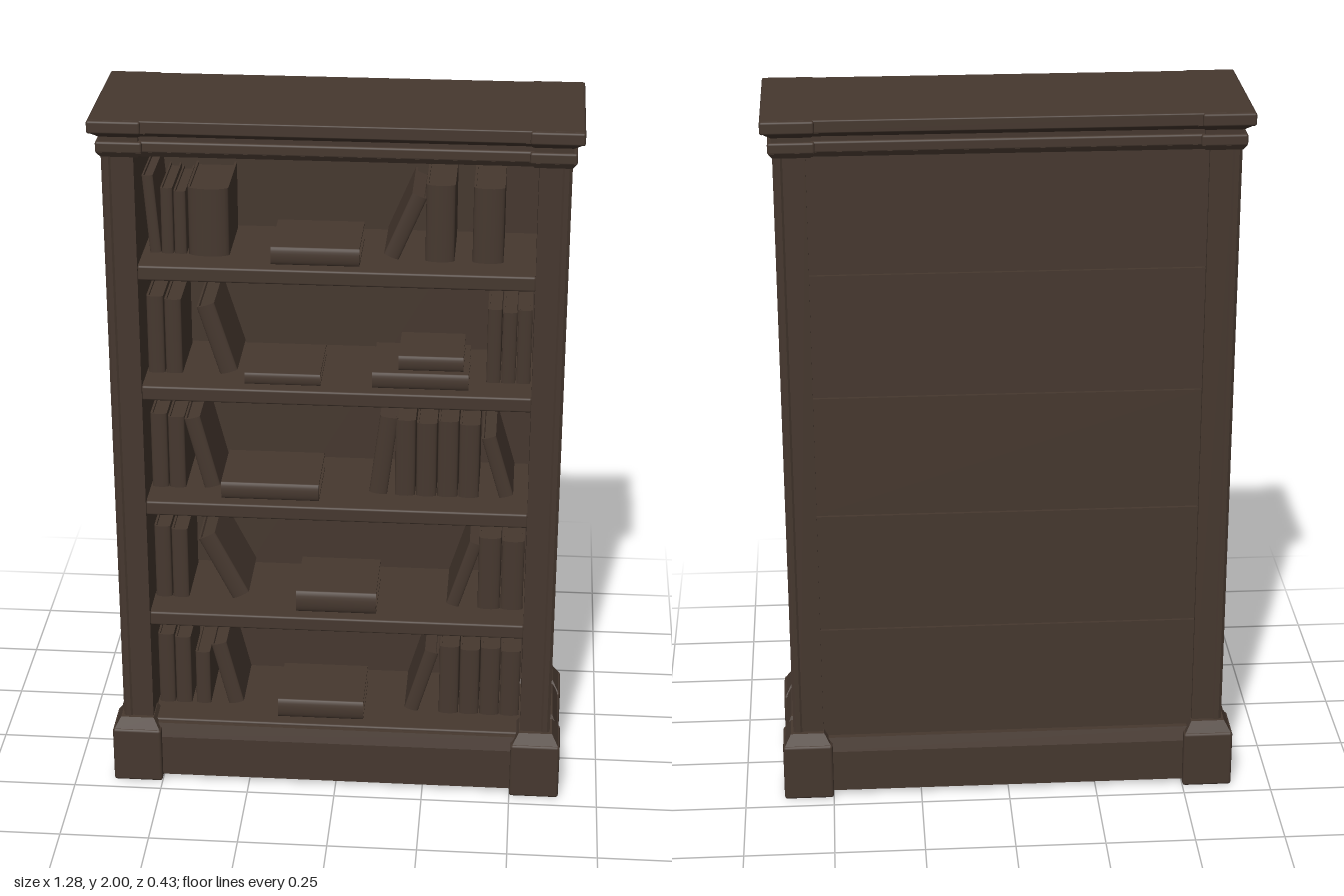
import * as THREE from 'three';
import { RoundedBoxGeometry } from 'three/addons/geometries/RoundedBoxGeometry.js';

export function createModel() {
  const root = new THREE.Group();
  root.name = 'bookcase';
  const wood = new THREE.MeshStandardMaterial({ color: 0x46382f });
  wood.name = 'dark walnut';

  const add = (geometry, name, x, y, z, parent = root) => {
    const mesh = new THREE.Mesh(geometry, wood);
    mesh.name = name;
    mesh.position.set(x, y, z);
    parent.add(mesh);
    return mesh;
  };

  // box centred on z, given by its centre and width in x, limits in y and half depth
  const block = (name, x, w, y0, y1, z, r = 0) => add(
    r ? new RoundedBoxGeometry(w, y1 - y0, 2 * z, 2, r) : new THREE.BoxGeometry(w, y1 - y0, 2 * z),
    name, x, (y0 + y1) / 2, 0);

  // the same, with the top drawn in (or out, if negative) by an inset
  const taper = (name, x, w, y0, y1, z, inset) => {
    const g = new THREE.BoxGeometry(w, y1 - y0, 2 * z);
    const p = g.attributes.position;
    for (let i = 0; i < p.count; i++) {
      if (p.getY(i) > 0) {
        p.setX(i, p.getX(i) * (1 - 2 * inset / w));
        p.setZ(i, p.getZ(i) * (1 - inset / z));
      }
    }
    g.computeVertexNormals();
    return add(g, name, x, (y0 + y1) / 2, 0);
  };

  // rectangle outline, symmetrical about the middle
  const rect = (path, u, v0, v1) => {
    path.moveTo(-u, v0);
    path.lineTo(u, v0);
    path.lineTo(u, v1);
    path.lineTo(-u, v1);
    path.closePath();
    return path;
  };

  // plinth
  block('plinth', 0, 1.24, 0.015, 0.14, 0.195);
  taper('plinthCap', 0, 1.24, 0.14, 0.18, 0.195, 0.012);

  // panelled side wall: frame with two openings over a solid core
  const frame = rect(new THREE.Shape(), 0.176, 0.17, 1.91);
  frame.holes.push(rect(new THREE.Path(), 0.112, 0.27, 0.475), rect(new THREE.Path(), 0.112, 0.515, 1.83));
  const frameGeometry = new THREE.ExtrudeGeometry(frame, {
    depth: 0.012, bevelEnabled: true, bevelThickness: 0.008, bevelSize: 0.006, bevelSegments: 1,
  });
  for (const s of [-1, 1]) {
    block('sideWall', s * 0.5585, 0.067, 0.1, 1.92, 0.178);
    add(frameGeometry, 'sidePanelFrame', s * 0.59, 0, 0).rotation.y = s * Math.PI / 2;
    block('sidePlinth', s * 0.591, 0.082, 0.01, 0.165, 0.1);
    taper('sidePlinthCap', s * 0.591, 0.082, 0.165, 0.2, 0.1, 0.015);
    // feet at the front and back corners
    for (const t of [-1, 1]) {
      block('cornerFoot', s * 0.57, 0.14, 0, 0.17, 0.064, 0.008).position.z = t * 0.149;
      taper('footCap', s * 0.57, 0.134, 0.165, 0.2, 0.061, 0.02).position.z = t * 0.149;
    }
  }

  // shelves with a lip along the front
  const pitch = 0.35;
  const shelfTops = [0, 1, 2, 3, 4].map((i) => 1.587 - i * pitch);
  // back boards meet below each shelf, with narrow joints over a backing
  block('backing', 0, 1.054, 0.1, 1.92, 0.006).position.z = -0.152;
  let boardTop = 1.92;
  for (const y of shelfTops) {
    block('shelf', 0, 1.054, y - 0.035, y, 0.158);
    block('shelfLip', 0, 1.054, y - 0.042, y, 0.0125, 0.006).position.z = 0.1575;
    block('backBoard', 0, 1.054, y - 0.018, boardTop - 0.004, 0.006).position.z = -0.161;
    boardTop = y - 0.018;
  }

  // crown moulding, breaking forward at the corners
  const crown = (x, w, z) => {
    taper('crownCove', x, w - 0.024, 1.895, 1.91, z - 0.01, -0.01);
    block('crownBead', x, w, 1.907, 1.938, z, 0.006);
    block('crownNeck', x, w - 0.02, 1.93, 1.952, z - 0.008);
    taper('crownFlare', x, w - 0.02, 1.95, 1.967, z - 0.008, -0.022);
  };
  crown(0, 1.24, 0.184);
  block('crownTop', 0, 1.274, 1.965, 2, 0.203, 0.004);
  for (const s of [-1, 1]) {
    crown(s * 0.561, 0.122, 0.194);
    block('crownCorner', s * 0.57, 0.14, 1.965, 1.9995, 0.212, 0.006);
  }

  // a book: covers, rounded spine facing +z and recessed pages
  const book = (w, h, d) => {
    const g = new THREE.Group();
    g.name = 'book';
    const c = Math.min(0.006, w * 0.15);
    for (const s of [-1, 1]) add(new THREE.BoxGeometry(c, h, d), 'cover', s * (w - c) / 2, h / 2, 0, g);
    add(new THREE.BoxGeometry(w - 2 * c, h - 0.014, d - 0.008), 'pages', 0, h / 2, 0.004, g);
    const spine = new THREE.CylinderGeometry(w / 2, w / 2, h, 10, 1, false, -Math.PI / 2, Math.PI);
    spine.scale(1, 1, 0.35);
    add(spine, 'spine', 0, h / 2, d / 2, g);
    root.add(g);
    return g;
  };

  // row of upright books filling a width, with slightly uneven heights
  const row = (y, x0, x1, count, h) => {
    const w = (x1 - x0) / count;
    for (let i = 0; i < count; i++) {
      book(w - 0.003, h - (i % 2) * 0.008, 0.2).position.set(x0 + (i + 0.5) * w, y, -0.03);
    }
  };

  // leaning book: left edge at the foot and at the head, width, height
  const lean = (y, foot, head, w, h) => {
    const angle = Math.atan2(foot - head, h);
    const lift = Math.abs(Math.sin(angle)) * w / 2;
    const b = book(w, (h - 2 * lift) / Math.cos(angle), 0.2);
    b.position.set(foot + w / 2, y + lift, -0.03);
    b.rotation.z = angle;
  };

  // book lying flat with its spine to the front
  const lie = (y, x0, x1, t, d = 0.2) => {
    const b = book(t, x1 - x0, d);
    b.rotation.z = Math.PI / 2;
    b.position.set(x1, y + t / 2, 0.03);
  };

  const [top, upper, middle, lower, bottom] = shelfTops;

  // pair of books at the left end of the lower four shelves
  for (const y of shelfTops.slice(1)) row(y, -0.522, -0.425, 2, 0.225);

  // top shelf
  lean(top, -0.505, -0.522, 0.03, 0.22);
  row(top, -0.475, -0.405, 2, 0.185);
  row(top, -0.402, -0.29, 1, 0.19);
  lie(top, -0.175, 0.06, 0.05);
  lean(top, 0.12, 0.2, 0.042, 0.19);
  row(top, 0.23, 0.31, 1, 0.215);
  row(top, 0.355, 0.44, 1, 0.21);

  // upper shelf
  lean(upper, -0.325, -0.39, 0.05, 0.21);
  lie(upper, -0.25, -0.045, 0.033);
  lie(upper, 0.095, 0.355, 0.046);
  lie(upper + 0.046, 0.165, 0.34, 0.042, 0.16);
  row(upper, 0.4, 0.522, 3, 0.215);

  // middle shelf
  lean(middle, -0.375, -0.43, 0.045, 0.22);
  lie(middle, -0.32, -0.05, 0.05);
  lean(middle, 0.085, 0.115, 0.05, 0.24);
  row(middle, 0.155, 0.39, 4, 0.23);
  lean(middle, 0.445, 0.39, 0.04, 0.19);

  // lower shelf
  lean(lower, -0.305, -0.41, 0.052, 0.21);
  lie(lower, -0.115, 0.11, 0.065);
  lean(lower, 0.305, 0.37, 0.036, 0.21);
  row(lower, 0.392, 0.522, 2, 0.225);

  // bottom shelf
  row(bottom, -0.415, -0.37, 1, 0.17);
  lean(bottom, -0.32, -0.37, 0.045, 0.205);
  lie(bottom, -0.17, 0.075, 0.058);
  lean(bottom, 0.19, 0.25, 0.04, 0.205);
  row(bottom, 0.288, 0.522, 4, 0.22);

  return root;
}
